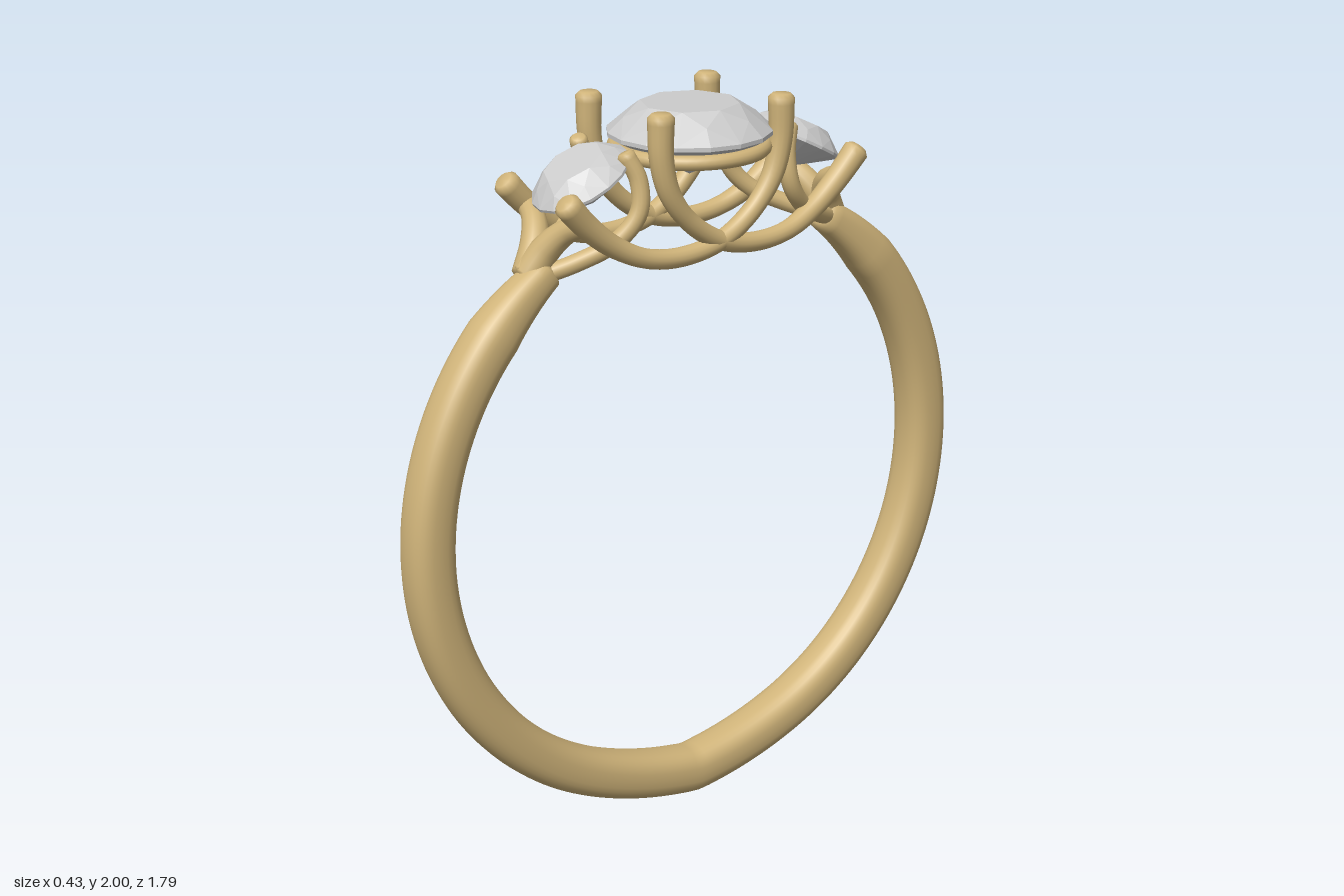
import * as THREE from 'three';
import { ConvexGeometry } from 'three/addons/geometries/ConvexGeometry.js';

const gold = new THREE.MeshStandardMaterial({ color: 0xd0b47a });
const stone = new THREE.MeshStandardMaterial({ color: 0xcccccc, flatShading: true });

// Sweep a rounded section along points; radius(t) varies, power > 2 squares the section.
// The ends are closed with a small bevel and a flat cap.
function sweep(name, points, radius, { steps = 40, sides = 14, power = 2 } = {}) {
  const curve = new THREE.CatmullRomCurve3(points.map(p => new THREE.Vector3(...p)));
  const frames = curve.computeFrenetFrames(steps);
  const pos = [], index = [];
  const ring = (i, scale, shift) => {
    const r = radius(i / steps);
    const c = curve.getPointAt(i / steps).addScaledVector(frames.tangents[i], shift * r);
    const sq = v => Math.sign(v) * Math.abs(v) ** (2 / power);
    for (let s = 0; s < sides; s++) {
      const a = s / sides * Math.PI * 2;
      const p = c.clone()
        .addScaledVector(frames.normals[i], sq(Math.cos(a)) * r * scale)
        .addScaledVector(frames.binormals[i], sq(Math.sin(a)) * r * scale);
      pos.push(p.x, p.y, p.z);
    }
  };
  ring(0, 0.001, -0.3);
  ring(0, 0.7, -0.3);
  for (let i = 0; i <= steps; i++) ring(i, 1, 0);
  ring(steps, 0.7, 0.3);
  ring(steps, 0.001, 0.3);
  for (let i = 0; i < steps + 4; i++) {
    for (let s = 0; s < sides; s++) {
      const a = i * sides + s, b = i * sides + (s + 1) % sides;
      index.push(a, b, a + sides, b, b + sides, a + sides);
    }
  }
  const g = new THREE.BufferGeometry();
  g.setAttribute('position', new THREE.Float32BufferAttribute(pos, 3));
  g.setIndex(index);
  g.computeVertexNormals();
  const mesh = new THREE.Mesh(g, gold);
  mesh.name = name;
  return mesh;
}

// Brilliant cut of unit girdle radius, table facing up
function cutStone(name) {
  const pts = [new THREE.Vector3(0, -0.53, 0)];
  const circle = (n, r, y, turn = 0) => {
    for (let i = 0; i < n; i++) {
      const a = (i + turn) / n * Math.PI * 2;
      pts.push(new THREE.Vector3(Math.cos(a) * r, y, Math.sin(a) * r));
    }
  };
  circle(8, 0.6, 0.35);
  circle(8, 0.81, 0.205, 0.5);
  circle(16, 1, 0.025);
  circle(16, 1, -0.025);
  circle(8, 0.5, -0.285, 0.5);
  const mesh = new THREE.Mesh(new ConvexGeometry(pts), stone);
  mesh.name = name;
  return mesh;
}

export function createModel() {
  const ring = new THREE.Group();
  ring.name = 'threeStoneRing';

  // Band, open at the top with a soft point at the bottom
  const bandPoints = [];
  const end = 2.56, n = 96;
  for (let i = 0; i <= n; i++) {
    const t = (i / n * 2 - 1) * end;
    const r = 0.828 + 0.018 * Math.max(0, 1 - Math.abs(t) / 0.4) ** 2;
    bandPoints.push([0, 0.912 - r * Math.cos(t), r * Math.sin(t)]);
  }
  const bandRadius = t => 0.066 - 0.022 * Math.max(0, Math.abs(t - 0.5) * 2 - 0.9) / 0.1;
  ring.add(sweep('band', bandPoints, bandRadius, { steps: 160, sides: 28, power: 2.5 }));

  // Setting: each piece is mirrored to both sides (x) and both ends (z)
  const setting = new THREE.Group();
  setting.name = 'setting';
  setting.position.x = -0.02;
  ring.add(setting);
  const prongRadius = t => 0.026 + 0.009 * Math.max(0, Math.abs(t - 0.5) * 2 - 0.4) / 0.6;
  for (const sx of [-1, 1]) {
    for (const sz of [-1, 1]) {
      const place = pts => pts.map(([x, y, z]) => [x * sx, y, z * sz]);
      // From the outer tip of a side stone, under the middle, up to the far centre prong
      setting.add(sweep('crossingProng', place([
        [0.138, 1.805, 0.465], [0.135, 1.74, 0.405], [0.138, 1.675, 0.325], [0.148, 1.63, 0.23],
        [0.152, 1.617, 0.12], [0.155, 1.64, 0], [0.157, 1.705, -0.1],
        [0.158, 1.79, -0.165], [0.158, 1.88, -0.19], [0.158, 1.99, -0.192],
      ]), prongRadius, { steps: 60 }));
      // Inner prong of a side stone, rooted in the band
      setting.add(sweep('innerProng', place([
        [0.104, 1.895, 0.262], [0.125, 1.83, 0.238], [0.135, 1.75, 0.245],
        [0.115, 1.68, 0.3], [0.07, 1.63, 0.39], [0.02, 1.595, 0.48],
      ]), t => 0.024));
      // Upper branch from the band to the outer prong
      setting.add(sweep('shoulderBranch', place([
        [0, 1.6, 0.49], [0.025, 1.665, 0.455], [0.07, 1.715, 0.425], [0.135, 1.745, 0.405],
      ]), t => 0.045 - 0.018 * t));
    }
  }

  // Seat under the centre stone
  const seat = new THREE.Mesh(new THREE.TorusGeometry(0.195, 0.02, 12, 56), gold);
  seat.name = 'centreSeat';
  seat.rotation.x = Math.PI / 2;
  seat.position.y = 1.866;
  ring.add(seat);

  // Stones
  const centre = cutStone('centreStone');
  centre.scale.setScalar(0.217);
  centre.position.y = 1.904;
  ring.add(centre);
  for (const sz of [-1, 1]) {
    const side = cutStone('sideStone');
    side.scale.set(0.125, 0.15, 0.14);
    side.position.set(0, 1.83, 0.342 * sz);
    side.rotation.x = 0.48 * sz;
    ring.add(side);
  }
  return ring;
}
